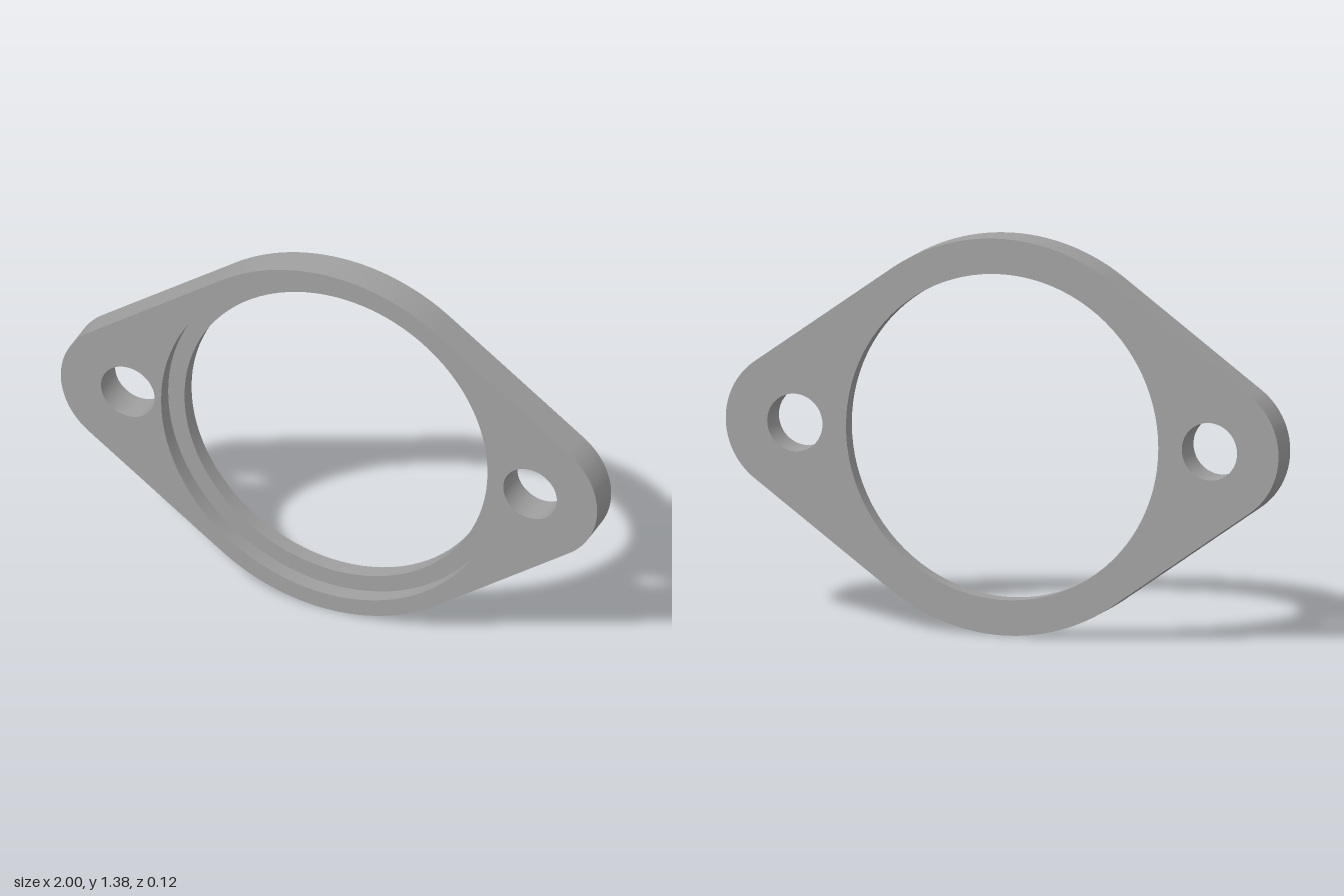
import * as THREE from 'three';
import { mergeVertices } from 'three/addons/utils/BufferGeometryUtils.js';

const CENTRE_Y = 0.6875;
const BODY_R = 0.6875, EAR_R = 0.25, EAR_X = 0.75, BOLT_R = 0.1;
const RECESS_R = 0.626, BORE_R = 0.565;
const BACK = -0.0585, FRONT = 0.0585, LEDGE = 0;
const SEGMENTS = 48;

// Round body joined to two round ears by tangent lines
function outline() {
  const a = Math.acos((BODY_R - EAR_R) / EAR_X);
  const s = new THREE.Shape();
  s.absarc(EAR_X, 0, EAR_R, -a, a, false);
  s.absarc(0, 0, BODY_R, a, Math.PI - a, false);
  s.absarc(-EAR_X, 0, EAR_R, Math.PI - a, Math.PI + a, false);
  s.absarc(0, 0, BODY_R, Math.PI + a, 2 * Math.PI - a, false);
  s.closePath();
  return s;
}

function circle(x, r) {
  return new THREE.Shape().absarc(x, 0, r, 0, Math.PI * 2, false);
}

// Smooth closed wall along a path; it faces outward, or inward for a hole
function wall(path, z0, z1, inward = false) {
  const pts = path.getPoints(SEGMENTS);
  if (inward) pts.reverse();
  const pos = [], index = [];
  pts.forEach((p, i) => {
    pos.push(p.x, p.y, z0, p.x, p.y, z1);
    if (i < pts.length - 1) {
      const k = i * 2;
      index.push(k, k + 2, k + 3, k, k + 3, k + 1);
    }
  });
  const g = new THREE.BufferGeometry();
  g.setAttribute('position', new THREE.Float32BufferAttribute(pos, 3));
  g.setIndex(index);
  const merged = mergeVertices(g, 1e-5);
  merged.computeVertexNormals();
  return merged;
}

// Flat face with holes, facing front or back
function face(shape, holes, z, back = false) {
  shape.holes.push(...holes);
  const g = new THREE.ShapeGeometry(shape, SEGMENTS);
  if (back) g.rotateY(Math.PI);
  return g.translate(0, 0, z);
}

export function createModel() {
  const group = new THREE.Group();
  group.name = 'flange';
  const steel = new THREE.MeshStandardMaterial({ color: 0xa0a0a0 });
  steel.name = 'grey steel';

  const add = (name, geometry) => {
    const mesh = new THREE.Mesh(geometry, steel);
    mesh.name = name;
    mesh.position.y = CENTRE_Y;
    group.add(mesh);
  };
  const boltHoles = () => [circle(EAR_X, BOLT_R), circle(-EAR_X, BOLT_R)];

  // Plate faces and rim
  add('frontFace', face(outline(), [circle(0, RECESS_R), ...boltHoles()], FRONT));
  add('backFace', face(outline(), [circle(0, BORE_R), ...boltHoles()], BACK, true));
  add('outerRim', wall(outline(), BACK, FRONT));

  // Stepped central bore
  add('recessWall', wall(circle(0, RECESS_R), LEDGE, FRONT, true));
  add('recessLedge', face(circle(0, RECESS_R), [circle(0, BORE_R)], LEDGE));
  add('boreWall', wall(circle(0, BORE_R), BACK, LEDGE, true));

  // Bolt holes through the ears
  for (const [side, name] of [[1, 'leftBoltHole'], [-1, 'rightBoltHole']]) {
    add(name, wall(circle(side * EAR_X, BOLT_R), BACK, FRONT, true));
  }
  return group;
}
